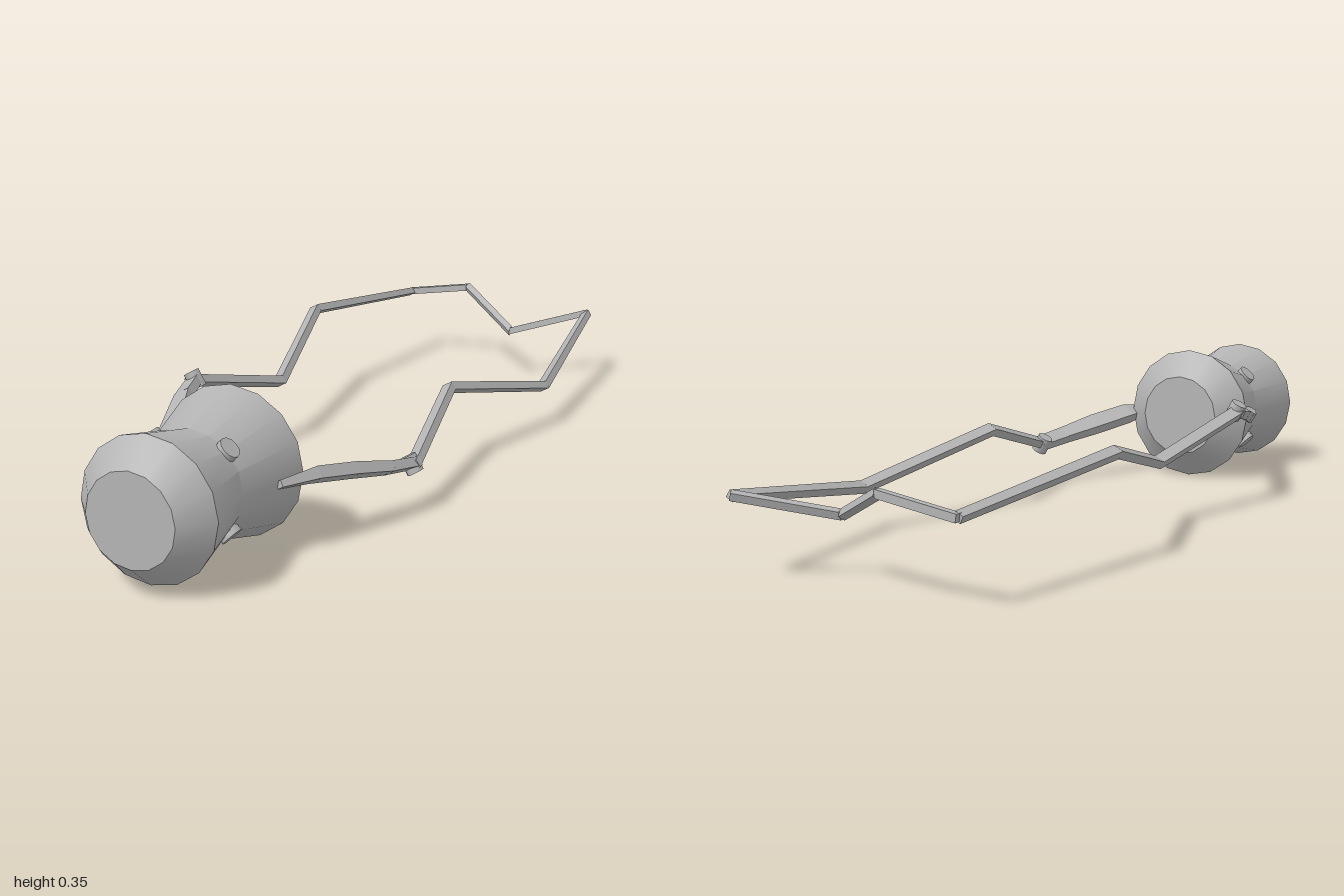
import * as THREE from 'three';
import { toCreasedNormals } from 'three/addons/utils/BufferGeometryUtils.js';

const CENTER_Y = 0.174;
const V = (x, y, z) => new THREE.Vector3(x, y, z);

// Mitred rectangular bar along points; sizes = [half width, half height] per point
function bar(points, sizes) {
  const roll = V(-0.5, 0.87, 0);
  const n = points.length;
  const dirs = points.slice(1).map((p, i) => p.clone().sub(points[i]).normalize());
  const pos = [];
  const quad = (a, b, c, d) => [a, b, c, a, c, d].forEach(p => pos.push(p.x, p.y, p.z));
  for (let i = 0; i < n - 1; i++) {
    const d = dirs[i];
    const side = d.clone().cross(roll).normalize();
    const up = side.clone().cross(d);
    const ring = k => {
      const plane = (dirs[k - 1] ?? d).clone().add(dirs[k] ?? d).normalize();
      const [w, h] = sizes[k];
      return [[1, 1], [-1, 1], [-1, -1], [1, -1]].map(([a, b]) => {
        const o = side.clone().multiplyScalar(a * w).addScaledVector(up, b * h);
        o.addScaledVector(d, -o.dot(plane) / d.dot(plane));
        return o.add(points[k]);
      });
    };
    const A = ring(i), B = ring(i + 1);
    for (let j = 0; j < 4; j++) {
      const k = (j + 1) % 4;
      quad(A[j], B[j], B[k], A[k]);
    }
    quad(A[0], A[1], A[2], A[3]);
    quad(B[3], B[2], B[1], B[0]);
  }
  const g = new THREE.BufferGeometry();
  g.setAttribute('position', new THREE.Float32BufferAttribute(pos, 3));
  g.computeVertexNormals();
  return g;
}

export function createModel() {
  const model = new THREE.Group();
  model.name = 'model';
  const metal = new THREE.MeshStandardMaterial({ color: 0xb4b4b4, side: THREE.DoubleSide });
  metal.name = 'greyMetal';
  const add = (parent, geometry, name) => {
    const m = new THREE.Mesh(geometry, metal);
    m.name = name;
    parent.add(m);
    return m;
  };

  // Waisted drum lying along z
  const profile = [[0, 0.535], [0.106, 0.535], [0.173, 0.595], [0.125, 0.77], [0.161, 0.932], [0.104, 1], [0, 1]];
  const drumGeo = new THREE.LatheGeometry(profile.map(([r, z]) => new THREE.Vector2(r, z)), 16);
  drumGeo.rotateX(Math.PI / 2);
  add(model, toCreasedNormals(drumGeo, 0.6), 'drum').position.y = CENTER_Y;

  // Four round studs on the waist
  for (let i = 0; i < 4; i++) {
    const a = Math.PI / 4 + i * Math.PI / 2;
    const stud = add(model, toCreasedNormals(new THREE.CylinderGeometry(0.025, 0.025, 0.045, 12), 0.7), 'stud');
    stud.position.set(Math.cos(a) * 0.115, CENTER_Y + Math.sin(a) * 0.115, 0.77);
    stud.rotation.z = a - Math.PI / 2;
  }

  // Two arms, each the other turned half a turn about the drum axis
  for (const s of [-1, 1]) {
    const arm = new THREE.Group();
    arm.name = s < 0 ? 'rightArm' : 'leftArm';
    const P = (x, y, z) => V(-s * x, CENTER_Y - s * y, z);
    const shoulder = [P(-0.155, 0.006, 0.67), P(-0.182, 0.012, 0.57), P(-0.222, 0.030, 0.46),
      P(-0.262, 0.050, 0.36), P(-0.287, 0.064, 0.265)];
    add(arm, bar(shoulder, [[0.008, 0.008], [0.024, 0.014], [0.025, 0.014], [0.02, 0.012], [0.018, 0.011]]), 'shoulder');

    const rail = [P(-0.29, 0.064, 0.285), P(-0.233, -0.022, -0.06), P(-0.334, 0.068, -0.46),
      V(s * 0.276, s < 0 ? 0.188 : 0.178, -0.985)];
    add(arm, bar(rail, [[0.015, 0.01], [0.014, 0.01], [0.013, 0.01], [0.01, 0.009]]), 'rail');

    // Hinge pin where shoulder and rail meet
    const pin = add(arm, toCreasedNormals(new THREE.CylinderGeometry(0.02, 0.02, 0.042, 10), 0.7), 'hingePin');
    pin.position.copy(P(-0.282, 0.064, 0.275));
    pin.rotation.z = Math.PI / 6;
    model.add(arm);
  }

  // Notched end piece joining the rails
  const end = [V(-0.28, 0.188, -0.99), V(-0.095, 0.218, -0.99), V(0.09, 0.135, -0.86), V(0.276, 0.18, -0.988)];
  add(model, bar(end, end.map(() => [0.009, 0.009])), 'endPiece');

  return model;
}
